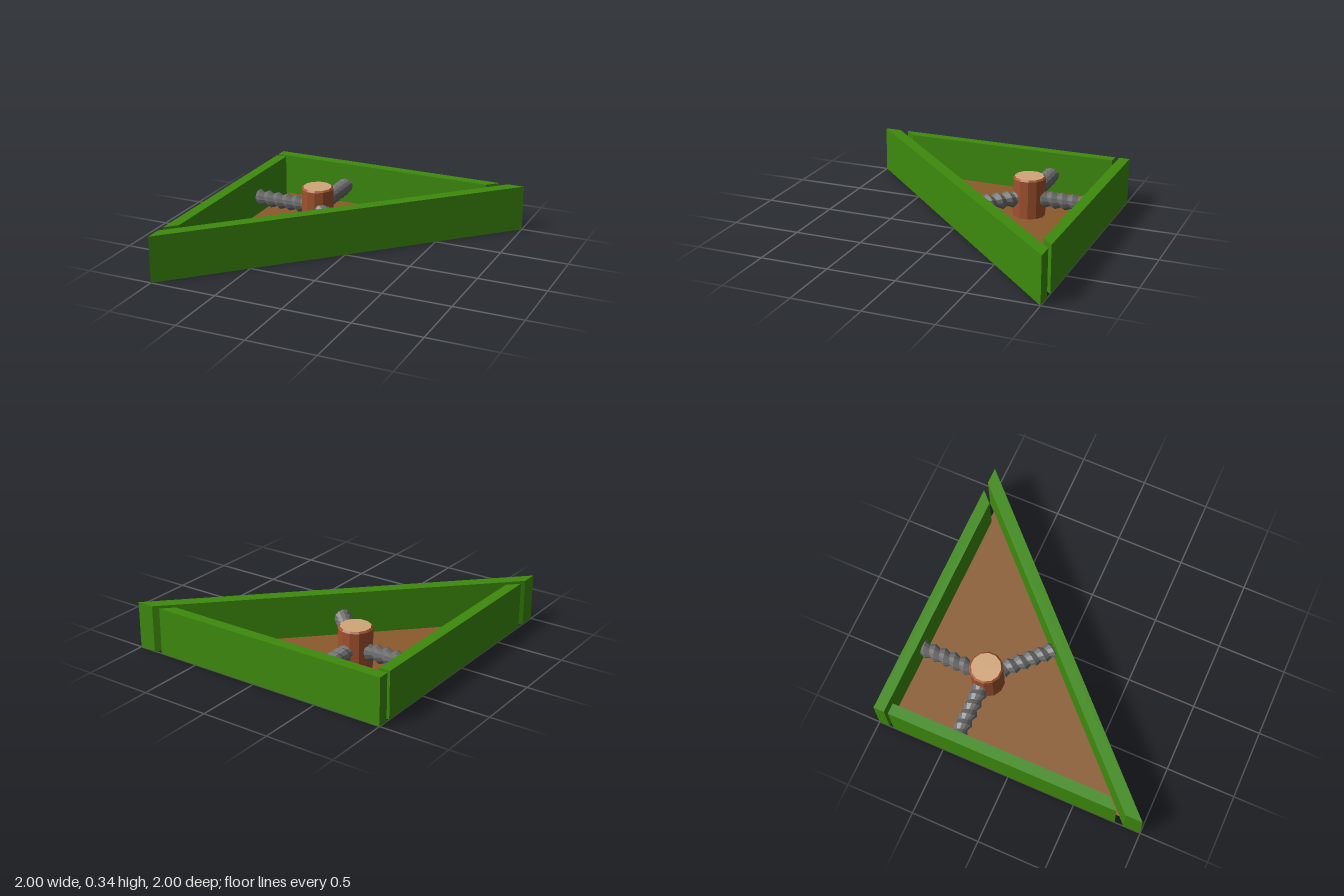
import * as THREE from 'three';

const H = 0.34;          // wall height
const HUB = -0.418;      // hub centre on both x and z

const material = (name, color, extra = {}) => {
  const m = new THREE.MeshStandardMaterial({ color, ...extra });
  m.name = name;
  return m;
};

// Upright prism from a plan outline given as [x, z] points
function slab(name, points, y0, y1, mat) {
  const shape = new THREE.Shape(points.map(([x, z]) => new THREE.Vector2(x, -z)));
  const geo = new THREE.ExtrudeGeometry(shape, { depth: y1 - y0, bevelEnabled: false });
  geo.rotateX(-Math.PI / 2);
  geo.translate(0, y0, 0);
  const mesh = new THREE.Mesh(geo, mat);
  mesh.name = name;
  return mesh;
}

// Screw along +x: rows alternate crest and root and follow a helix
function screwGeometry(length, root, crest, pitch) {
  const turns = Math.ceil(length / pitch) + 1;
  const geo = new THREE.CylinderGeometry(1, 1, 1, 12, turns * 2, true);
  const pos = geo.attributes.position;
  for (let i = 0; i < pos.count; i++) {
    const row = Math.round((pos.getY(i) + 0.5) * turns * 2);
    const side = i % 13;
    const r = row % 2 ? crest : root;
    const along = (row / 2 - 1 + side / 12) * pitch;
    const a = (side / 12) * Math.PI * 2;
    pos.setXYZ(i, r * Math.sin(a), THREE.MathUtils.clamp(along, 0, length), r * Math.cos(a));
  }
  geo.rotateZ(-Math.PI / 2);
  const flat = geo.toNonIndexed();
  flat.computeVertexNormals();
  return flat;
}

export function createModel() {
  const model = new THREE.Group();
  model.name = 'triangularPlanter';
  const green = material('leafGreen', 0x3d8a0d);
  const brown = material('floorBrown', 0x8b5a2b);
  const bark = material('barkSienna', 0xa0522d);
  const wood = material('cutWood', 0xd2a679);
  const grey = material('screwGrey', 0x6c6c6c);

  // Three walls with small gaps at the corners
  model.add(
    slab('diagonalWall', [[-1, 1], [1, -1], [0.875, -1], [-1, 0.875]], 0, H, green),
    slab('backWall', [[-1, -1], [-1, -0.92], [0.73, -0.92], [0.81, -1]], 0, H, green),
    slab('sideWall', [[-1, -0.89], [-1, 0.81], [-0.92, 0.73], [-0.92, -0.89]], 0, H, green)
  );

  // Floor slotted into the walls
  model.add(slab('floor', [[-0.95, -0.94], [-0.95, 0.84], [0.83, -0.94]], 0.008, 0.026, brown));

  // Central post with a bevelled rim and a pale cut top
  const profile = [[0.12, 0.015], [0.12, 0.308], [0.107, 0.32]].map(([r, y]) => new THREE.Vector2(r, y));
  const barkGeo = new THREE.LatheGeometry(profile, 12, Math.PI / 12).toNonIndexed();
  barkGeo.computeVertexNormals();
  const post = new THREE.Mesh(barkGeo, bark);
  post.name = 'post';
  post.position.set(HUB, 0, HUB);
  const top = new THREE.Mesh(new THREE.CircleGeometry(0.107, 12, Math.PI / 12), wood);
  top.name = 'postTop';
  top.rotation.x = -Math.PI / 2;
  top.position.set(HUB, 0.32, HUB);
  model.add(post, top);

  // Screws from the post to each wall
  const screwGeo = screwGeometry(0.515, 0.044, 0.064, 0.078);
  [['backScrew', Math.PI / 2], ['sideScrew', Math.PI], ['diagonalScrew', -Math.PI / 4]].forEach(([name, turn]) => {
    const screw = new THREE.Mesh(screwGeo, grey);
    screw.name = name;
    screw.rotation.y = turn;
    screw.position.set(HUB, 0.16, HUB);
    model.add(screw);
  });

  return model;
}
